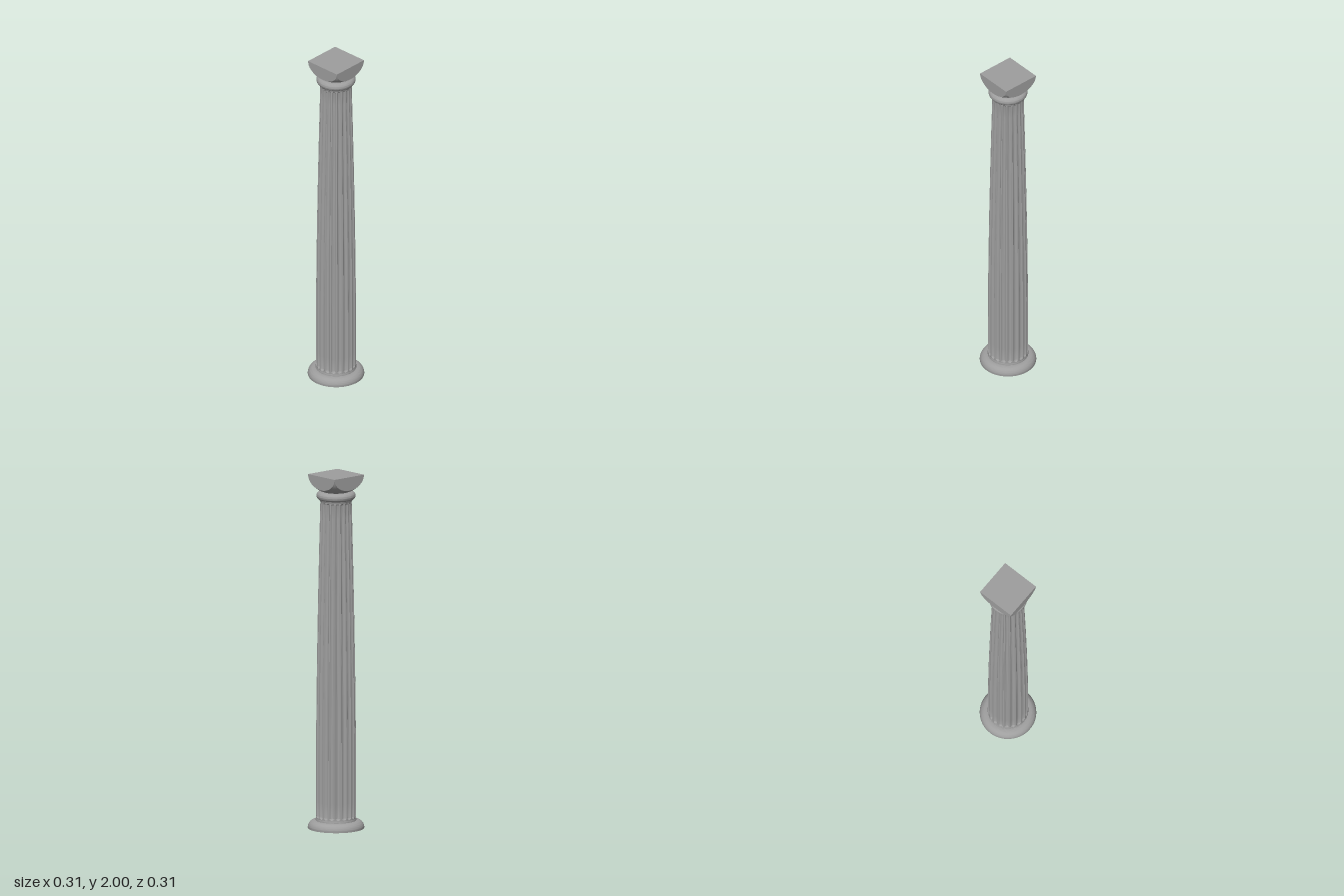
import * as THREE from 'three';
import { toCreasedNormals } from 'three/addons/utils/BufferGeometryUtils.js';

const FLUTES = 20;
const FLUTE_BOTTOM = 0.06;
const FLUTE_TOP = 1.848;

export function createModel() {
  const column = new THREE.Group();
  column.name = 'column';
  const stone = new THREE.MeshStandardMaterial({ color: 0x9e9e9e });

  const add = (name, geometry) => {
    const mesh = new THREE.Mesh(geometry, stone);
    mesh.name = name;
    column.add(mesh);
  };
  const turned = (points, segments = 80) =>
    new THREE.LatheGeometry(points.map(([r, y]) => new THREE.Vector2(r, y)), segments);

  // Base: flat-bottomed disc with a rounded upper edge
  const base = [[0, 0], [0.156, 0]];
  for (let i = 0; i <= 12; i++) {
    const a = (i / 12) * Math.PI / 2;
    base.push([0.119 + 0.038 * Math.cos(a), 0.004 + 0.041 * Math.sin(a)]);
  }
  base.push([0, 0.045]);
  add('base', toCreasedNormals(turned(base), 0.6));

  // Small collar between base and shaft
  add('baseCollar', toCreasedNormals(turned([[0.1, 0.044], [0.113, 0.044], [0.113, 0.052], [0.111, 0.057], [0.1, 0.057]]), 0.6));

  // Shaft: swelling outline with round-ended flutes and narrow flat fillets
  const outline = (y) => 0.111 - 0.024 * Math.pow(Math.max(0, (y - 0.35) / 1.5), 1.6);
  const rows = [0.05];
  const capRows = 10, capLength = 0.018;
  for (let i = 0; i <= capRows; i++) rows.push(FLUTE_BOTTOM + capLength * i / capRows);
  for (let i = 1; i < 24; i++) {
    rows.push(THREE.MathUtils.lerp(FLUTE_BOTTOM + capLength, FLUTE_TOP - capLength, i / 24));
  }
  for (let i = capRows; i >= 0; i--) rows.push(FLUTE_TOP - capLength * i / capRows);
  rows.push(1.862);
  const shaft = turned(rows.map((y) => [outline(y), y]), FLUTES * 10);
  const p = shaft.attributes.position;
  for (let i = 0; i < p.count; i++) {
    const x = p.getX(i), y = p.getY(i), z = p.getZ(i);
    const turn = Math.atan2(x, z) / (2 * Math.PI) * FLUTES;
    const u = 2 * (turn - Math.round(turn)) / 0.8;
    const inside = Math.min(y - FLUTE_BOTTOM, FLUTE_TOP - y);
    const v = Math.max(0, 1 - inside / capLength);
    const k = 1 - 0.095 * Math.pow(Math.max(0, 1 - u * u - v * v), 0.7);
    p.setXYZ(i, x * k, y, z * k);
  }
  add('flutedShaft', toCreasedNormals(shaft, 0.6));

  // Necking and the round moulding under the capital
  add('necking', toCreasedNormals(turned([[0.08, 1.852], [0.09, 1.852], [0.095, 1.862], [0.095, 1.87]]), 0.6));
  const ring = [];
  for (let i = 0; i <= 20; i++) {
    const a = -Math.PI / 2 + (i / 20) * Math.PI;
    ring.push([0.086 + 0.023 * Math.cos(a), 1.882 + 0.023 * Math.sin(a)]);
  }
  add('ringMoulding', toCreasedNormals(turned([[0, 1.859], ...ring, [0, 1.905]]), 0.6));

  // Cushion capital: square block whose underside is a shallow bowl
  const capital = new THREE.BoxGeometry(0.22, 0.1, 0.22, 32, 1, 32);
  const c = capital.attributes.position;
  for (let i = 0; i < c.count; i++) {
    const r = Math.hypot(c.getX(i), c.getZ(i));
    const bowl = 2 - 0.108 * Math.sqrt(Math.max(0, 1 - (r / 0.1558) ** 2));
    c.setY(i, c.getY(i) > 0 ? 2 : Math.min(bowl, 1.9995));
  }
  capital.computeVertexNormals();
  add('cushionCapital', capital);

  return column;
}
